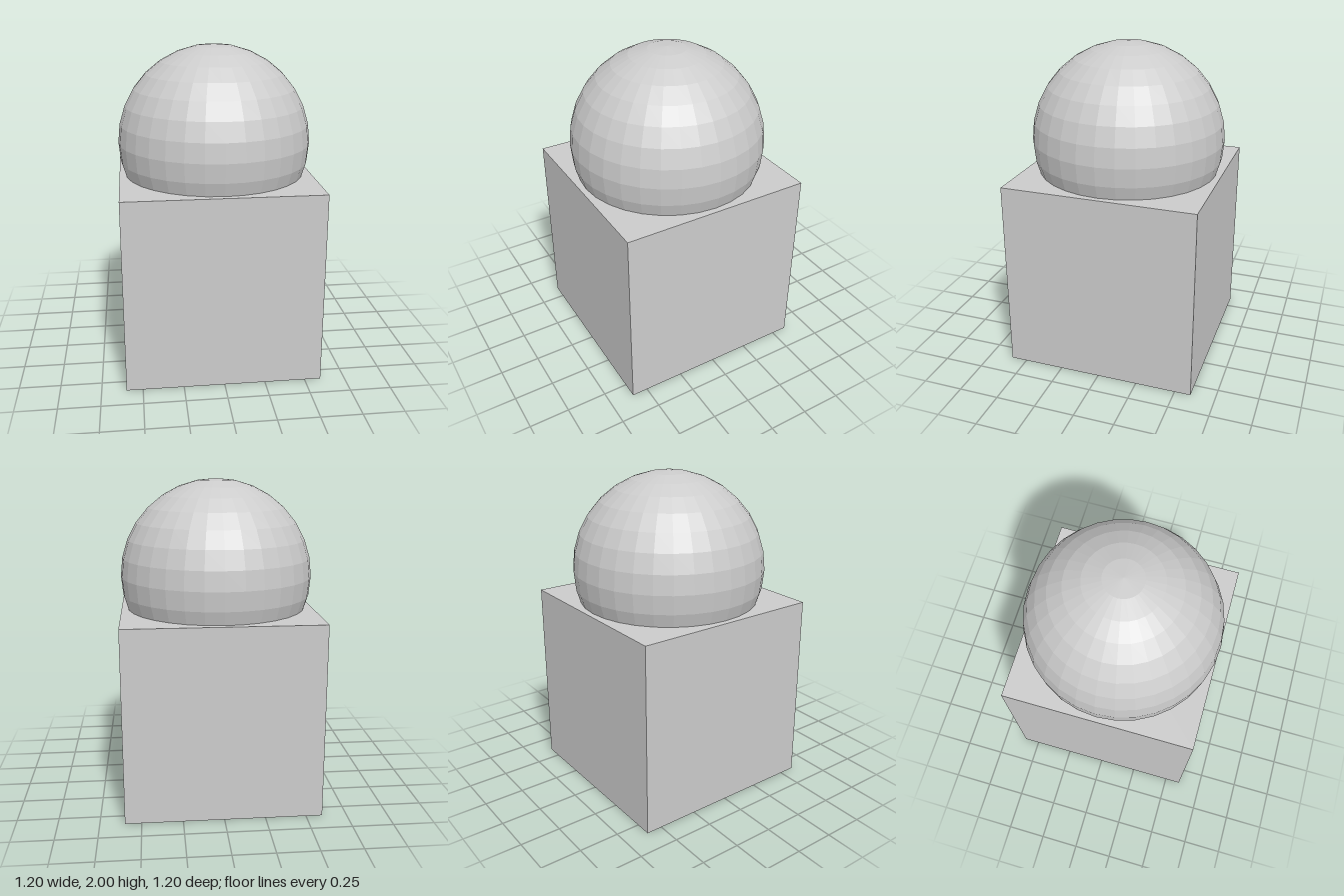
import * as THREE from 'three';

export function createModel() {
  const group = new THREE.Group();
  const material = new THREE.MeshStandardMaterial({ color: 0xcccccc, flatShading: true });

  const addPart = (name, geometry, y) => {
    const mesh = new THREE.Mesh(geometry, material);
    mesh.name = name;
    mesh.position.y = y;
    group.add(mesh);
  };

  // Cube standing on the ground
  addPart('cubeBase', new THREE.BoxGeometry(1.2, 1.2, 1.2), 0.6);

  // Faceted ball, sunk into the top of the cube
  addPart('ball', new THREE.SphereGeometry(0.6, 32, 16), 1.4);

  return group;
}
